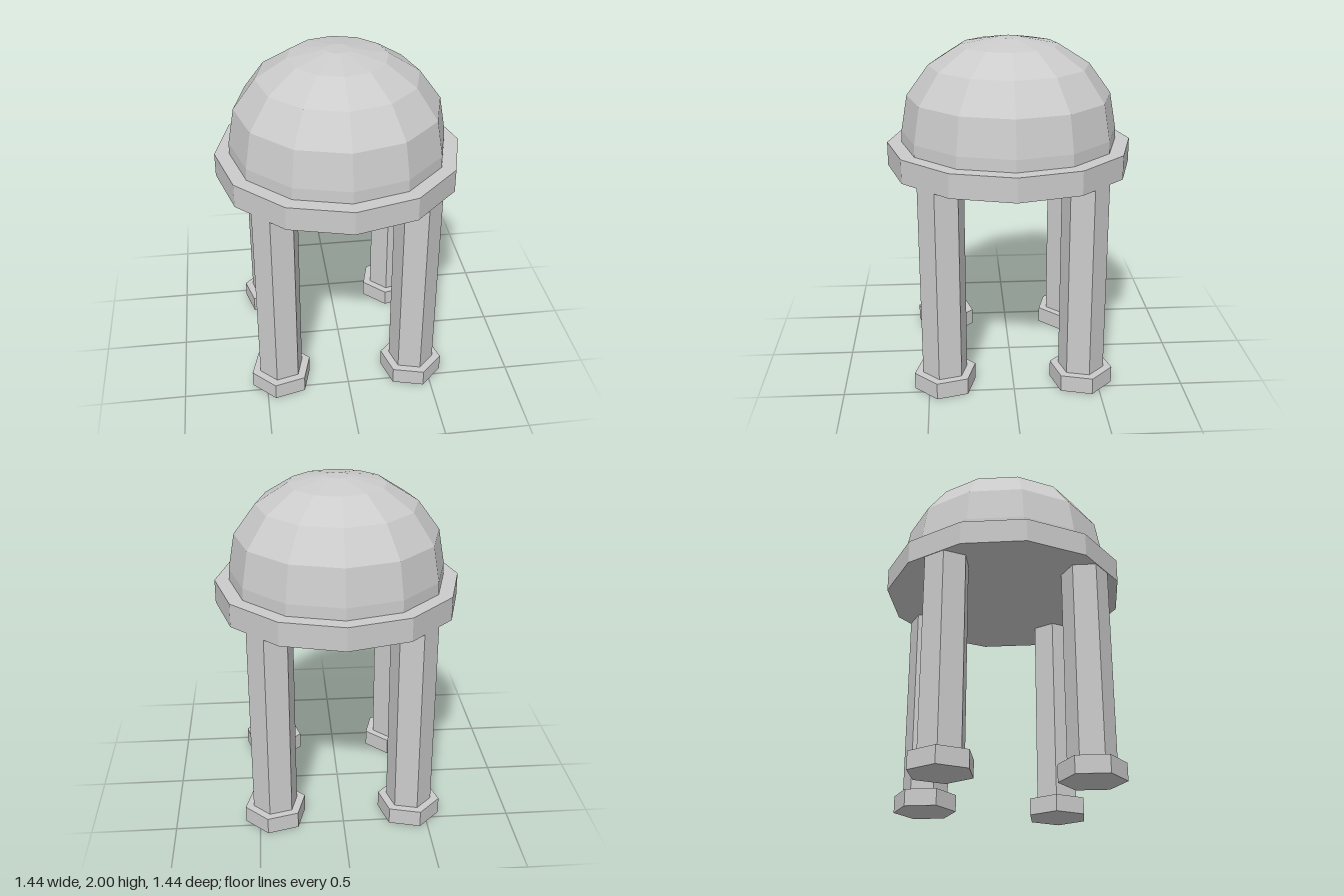
import * as THREE from 'three';

const material = new THREE.MeshStandardMaterial({ color: 0xcccccc, flatShading: true });

function part(name, geometry, parent, x = 0, y = 0) {
  const mesh = new THREE.Mesh(geometry, material);
  mesh.name = name;
  mesh.position.set(x, y, 0);
  parent.add(mesh);
  return mesh;
}

// Upright prism standing on y = 0
function prism(radius, height, sides) {
  return new THREE.CylinderGeometry(radius, radius, height, sides).translate(0, height / 2, 0);
}

export function createModel() {
  const model = new THREE.Group();
  model.name = 'domedPavilion';

  // Four hexagonal columns on the diagonals, each with a flat face outward
  const baseHeight = 0.1, ringBottom = 1.25, ringHeight = 0.14, columnOffset = 0.573;
  for (let i = 0; i < 4; i++) {
    const column = new THREE.Group();
    column.name = 'column' + (i + 1);
    column.rotation.y = Math.PI / 4 + i * Math.PI / 2;
    part('columnBase', prism(0.186, baseHeight, 6), column, columnOffset);
    part('columnShaft', prism(0.135, ringBottom - baseHeight, 6), column, columnOffset, baseHeight);
    model.add(column);
  }

  // Twelve-sided ring slab carried by the columns
  part('ringSlab', prism(0.718, ringHeight, 12), model, 0, ringBottom);

  // Faceted dome with a short upright foot and a small flat crown
  const profile = [
    [0.633, 1.39], [0.631, 1.46], [0.594, 1.67], [0.466, 1.845],
    [0.285, 1.96], [0.07, 2.0], [0, 2.0],
  ].map(([r, y]) => new THREE.Vector2(r, y));
  part('dome', new THREE.LatheGeometry(profile, 12), model);

  return model;
}
